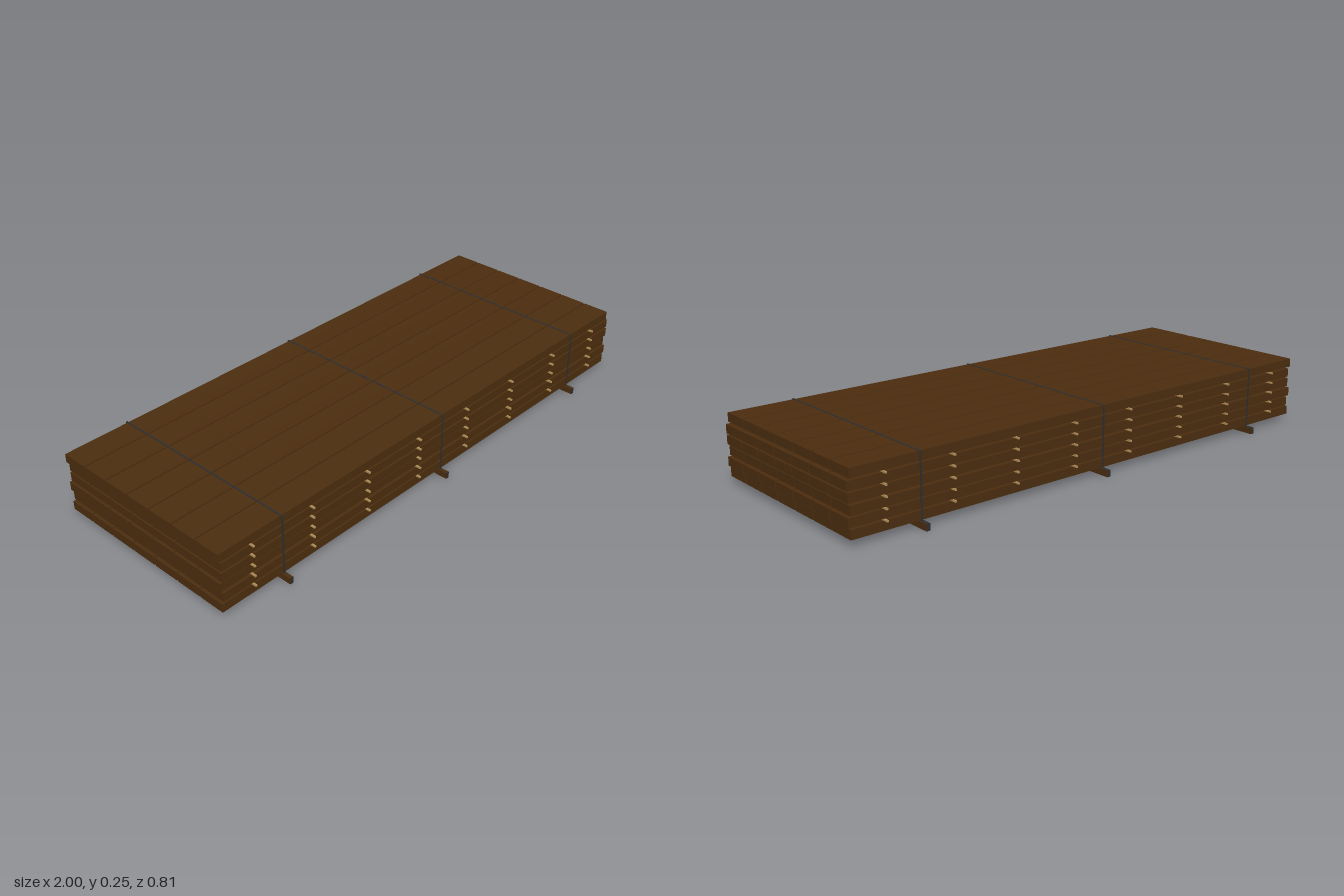
import * as THREE from 'three';

export function createModel() {
  const stack = new THREE.Group();
  stack.name = 'timberStack';

  const material = (name, color) => {
    const m = new THREE.MeshStandardMaterial({ color });
    m.name = name;
    return m;
  };
  const wood = material('brown wood', 0x4b2d0f);
  const paleWood = material('pale wood', 0xb08d57);
  const steel = material('dark steel', 0x2e2e2e);

  const box = (parent, name, mat, size, pos) => {
    const mesh = new THREE.Mesh(new THREE.BoxGeometry(...size), mat);
    mesh.name = name;
    mesh.position.set(...pos);
    parent.add(mesh);
    return mesh;
  };
  const group = (name) => {
    const g = new THREE.Group();
    g.name = name;
    stack.add(g);
    return g;
  };

  const base = 0.025, boardH = 0.0317, gapH = 0.006;
  const pitchY = boardH + gapH, pitchZ = 0.1057;

  // Six layers of seven boards, each layer laid slightly askew
  const shiftX = [-0.003, 0.004, -0.002, 0.003, 0.004, -0.005];
  const shiftZ = [0.001, 0.001, -0.003, 0.001, 0, 0];
  for (let layer = 0; layer < 6; layer++) {
    const boards = group('boardLayer');
    const y = base + layer * pitchY + boardH / 2;
    for (let i = 0; i < 7; i++) {
      box(boards, 'board', wood, [1.99, boardH, 0.1],
        [shiftX[layer], y, (i - 3) * pitchZ + shiftZ[layer]]);
    }
  }

  // Thin spacer sticks between the layers
  for (let layer = 0; layer < 5; layer++) {
    const sticks = group('spacerLayer');
    const y = base + layer * pitchY + boardH + gapH / 2;
    for (let i = 0; i < 8; i++) {
      box(sticks, 'spacer', paleWood, [0.006, gapH, 0.768], [(i - 3.5) * 0.25, y, 0]);
    }
  }

  for (const x of [-0.75, -0.003, 0.745]) {
    // Bearer with a steel bar set very slightly askew inside it
    const bearer = group('bearer');
    box(bearer, 'bearerBeam', wood, [0.0125, 0.0235, 0.804], [x, 0.01225, 0]);
    const bar = box(bearer, 'bearerBar', steel, [0.0113, 0.0236, 0.806], [x, 0.01255, 0]);
    bar.rotation.set(0.001, 0.0037, 0);

    // Steel band looped around the load
    const band = group('band');
    const top = 0.2462, side = 0.372;
    for (const s of [-1, 1]) {
      box(band, 'bandSide', steel, [0.006, top - base + 0.001, 0.002],
        [x, (top + base - 0.001) / 2, s * side]);
    }
    box(band, 'bandTop', steel, [0.006, 0.0016, side * 2], [x, top, 0]);
    box(band, 'bandBottom', steel, [0.006, 0.001, side * 2], [x, base - 0.0005, 0]);
  }

  return stack;
}
